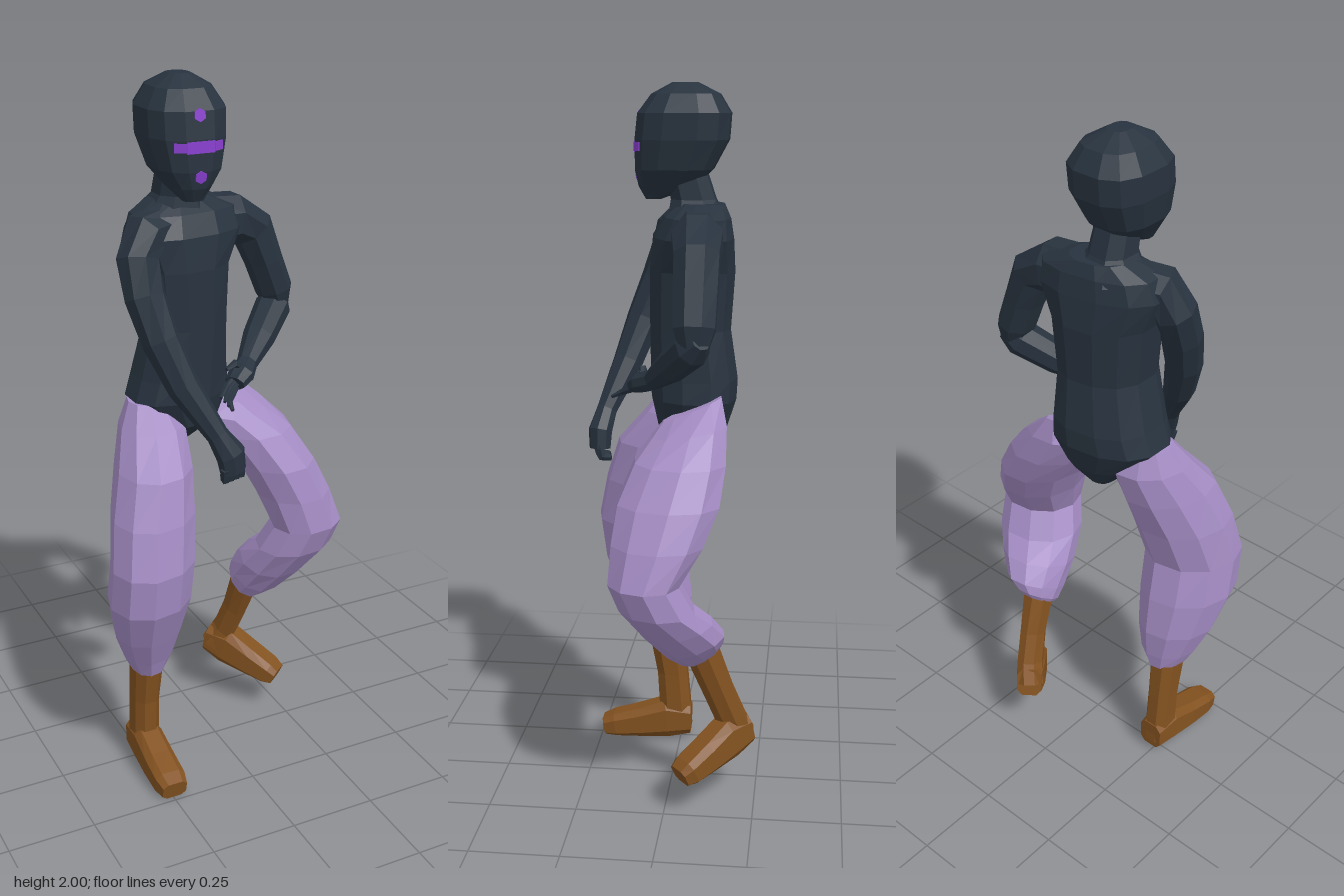
import * as THREE from 'three';

const mat = (name, color) => {
  const m = new THREE.MeshStandardMaterial({ color, flatShading: true });
  m.name = name;
  return m;
};

// Closed skin over rings of equal point count, with fan caps
function skin(rings) {
  const n = rings[0].length, pos = [], idx = [];
  rings.forEach(r => r.forEach(p => pos.push(p.x, p.y, p.z)));
  for (let j = 0; j < rings.length - 1; j++) {
    for (let i = 0; i < n; i++) {
      const a = j * n + i, b = j * n + (i + 1) % n;
      idx.push(a, b, b + n, a, b + n, a + n);
    }
  }
  const last = (rings.length - 1) * n;
  for (let i = 1; i < n - 1; i++) {
    idx.push(0, i + 1, i, last, last + i, last + i + 1);
  }
  const g = new THREE.BufferGeometry();
  g.setAttribute('position', new THREE.Float32BufferAttribute(pos, 3));
  g.setIndex(idx);
  const flat = g.toNonIndexed();
  flat.computeVertexNormals();
  return flat;
}

// Unit outline as [cos, sin] pairs; a lower power makes it squarer
function outline(sides, power) {
  const bend = v => Math.sign(v) * Math.abs(v) ** power;
  const top = bend(Math.cos(Math.PI / sides));
  return Array.from({ length: sides }, (_, i) => {
    const a = (i + 0.5) / sides * Math.PI * 2;
    return [bend(Math.cos(a)) / top, bend(Math.sin(a)) / top];
  });
}

// Sections, bottom to top: [y, xMin, xMax, zMin, zMax, drop towards the front]
function stack(sections, { sides = 12, power = 0.85, skew = 0 } = {}) {
  return skin(sections.map(([y, x0, x1, z0, z1, lean = 0]) => outline(sides, power).map(([c, s]) => {
    const dx = s * (x1 - x0) / 2, dz = c * (z1 - z0) / 2;
    return new THREE.Vector3((x0 + x1) / 2 + dx, y - lean * dz, (z0 + z1) / 2 + dz + skew * dx);
  })));
}

// Sections across a path: [x, y, z, halfWidth, halfHeight]
function limb(points, { sides = 8, power = 1, up = [0, 0, 1] } = {}) {
  const centres = points.map(p => new THREE.Vector3(p[0], p[1], p[2]));
  const ref = new THREE.Vector3(...up);
  return skin(points.map((p, k) => {
    const t = centres[Math.min(k + 1, centres.length - 1)].clone().sub(centres[Math.max(k - 1, 0)]).normalize();
    const side = t.clone().cross(ref).normalize(), rise = t.clone().cross(side);
    return outline(sides, power).map(([c, s]) => centres[k].clone()
      .addScaledVector(side, c * p[3]).addScaledVector(rise, s * (p[4] ?? p[3])));
  }));
}

export function createModel() {
  const suit = mat('dark suit', 0x28333f);
  const cloth = mat('lilac cloth', 0xa68ec6);
  const leather = mat('brown leather', 0x835220);
  const glow = mat('violet marking', 0x8a3fd0);
  const model = new THREE.Group();
  model.name = 'dancingFigure';
  const add = (name, geo, material, parent = model) => {
    const m = new THREE.Mesh(geo, material);
    m.name = name;
    parent.add(m);
    return m;
  };

  // Torso, neck and head
  add('torso', stack([
    [0.995, -0.11, -0.05, -0.1, -0.03], [1.06, -0.175, 0.015, -0.145, 0.05],
    [1.14, -0.245, 0.055, -0.168, 0.07], [1.2, -0.225, 0.05, -0.172, 0.07],
    [1.34, -0.19, 0.045, -0.153, 0.07], [1.5, -0.205, 0.055, -0.163, 0.07],
    [1.59, -0.24, 0.1, -0.158, 0.06], [1.645, -0.22, 0.09, -0.15, 0.03],
    [1.68, -0.155, 0.0, -0.135, -0.01],
  ], { skew: -0.15 }), suit);
  add('neck', stack([
    [1.63, -0.19, 0.01, -0.14, 0.02], [1.69, -0.15, -0.037, -0.11, 0.012],
    [1.78, -0.145, -0.042, -0.08, 0.03],
  ], { sides: 8 }), suit);
  add('head', stack([
    [1.69, -0.122, -0.066, 0.04, 0.083], [1.725, -0.147, -0.042, -0.055, 0.102],
    [1.77, -0.18, -0.008, -0.102, 0.11], [1.85, -0.2, 0.012, -0.145, 0.11],
    [1.92, -0.2, 0.015, -0.15, 0.102], [1.97, -0.17, -0.015, -0.12, 0.065],
    [2.0, -0.12, -0.065, -0.06, 0.01],
  ], { power: 0.75 }), suit);

  // Face markings: a band folded round the face and two dots
  const face = new THREE.Group();
  face.name = 'faceMarkings';
  face.position.x = -0.093;
  model.add(face);
  add('bandCentre', new THREE.BoxGeometry(0.078, 0.03, 0.008), glow, face).position.set(0, 1.832, 0.1075);
  for (const s of [-1, 1]) {
    const wing = add('bandEnd', new THREE.BoxGeometry(0.034, 0.024, 0.008), glow, face);
    wing.position.set(s * 0.051, 1.832, 0.1005);
    wing.rotation.y = s * 0.53;
  }
  for (const [y, z, tilt] of [[1.91, 0.102, -0.14], [1.757, 0.107, 0.16]]) {
    const dot = add('faceDot', new THREE.CylinderGeometry(0.017, 0.017, 0.008, 6), glow, face);
    dot.position.set(0, y, z);
    dot.rotation.x = Math.PI / 2 + tilt;
  }

  // Left arm, bent at the elbow across the waist
  add('leftUpperArm', limb([
    [-0.03, 1.59, -0.065, 0.08, 0.07], [0.085, 1.595, -0.075, 0.068, 0.068],
    [0.15, 1.56, -0.08, 0.056, 0.06], [0.187, 1.47, -0.08, 0.048, 0.058],
    [0.222, 1.38, -0.08, 0.047, 0.055], [0.235, 1.32, -0.08, 0.028, 0.035],
  ]), suit);
  add('leftForearm', limb([
    [0.25, 1.355, -0.1, 0.025], [0.22, 1.33, -0.075, 0.047], [0.14, 1.265, -0.01, 0.042],
    [0.075, 1.215, 0.045, 0.027], [0.04, 1.2, 0.08, 0.034, 0.028], [0.01, 1.185, 0.1, 0.028, 0.02],
  ], { up: [0, 1, 0] }), suit);

  // Right arm, reaching down in front
  add('rightArm', limb([
    [-0.13, 1.605, -0.03, 0.06], [-0.205, 1.598, 0.005, 0.06], [-0.235, 1.54, 0.025, 0.055, 0.056],
    [-0.233, 1.45, 0.062, 0.052, 0.05], [-0.21, 1.34, 0.105, 0.047], [-0.165, 1.22, 0.147, 0.041],
    [-0.092, 1.09, 0.2, 0.028], [-0.06, 1.035, 0.215, 0.04, 0.032], [-0.052, 0.985, 0.215, 0.036, 0.028],
  ], { up: [0.3, 0, 1] }), suit);

  // Fingers: open on the left hand, curled on the right
  for (let i = 0; i < 4; i++) {
    add('leftFinger', limb([
      [0.03 - i * 0.007, 1.205 - i * 0.01, 0.08 + i * 0.009, 0.008],
      [-0.015 - i * 0.005, 1.185 - i * 0.01, 0.105 + i * 0.014, 0.007],
      [-0.05 + i * 0.005, 1.165 - i * 0.008, 0.135 + i * 0.014, 0.004],
    ], { sides: 5, up: [0, 1, 0] }), suit);
    add('rightFinger', limb([
      [-0.085 + i * 0.019, 1.0, 0.232 - i * 0.006, 0.01],
      [-0.08 + i * 0.019, 0.965, 0.222 - i * 0.006, 0.01],
      [-0.07 + i * 0.016, 0.965, 0.19 - i * 0.004, 0.007],
    ], { sides: 5, up: [1, 0, 0] }), suit);
  }
  add('leftThumb', limb([[0.055, 1.205, 0.075, 0.012], [0.02, 1.235, 0.08, 0.009], [-0.01, 1.225, 0.09, 0.005]],
    { sides: 5 }), suit);

  // Baggy trouser legs
  add('leftTrouserLeg', stack([
    [0.445, 0.112, 0.195, -0.147, -0.06, 0.65], [0.458, 0.105, 0.212, -0.158, -0.045, 0.65],
    [0.49, 0.105, 0.255, -0.162, -0.005, 0.45], [0.55, 0.112, 0.31, -0.13, 0.055, 0.25],
    [0.62, 0.135, 0.362, -0.085, 0.12], [0.7, 0.165, 0.377, -0.045, 0.147],
    [0.8, 0.13, 0.345, -0.105, 0.142], [0.9, 0.08, 0.3, -0.145, 0.13],
    [1.0, 0.015, 0.24, -0.157, 0.09], [1.075, -0.03, 0.165, -0.155, 0.05, 0.2],
    [1.13, 0.015, 0.085, -0.14, 0.02, 0.45],
  ], { sides: 10, power: 0.95, skew: -0.12 }), cloth);
  add('rightTrouserLeg', stack([
    [0.325, -0.275, -0.21, -0.005, 0.085], [0.34, -0.29, -0.195, -0.017, 0.11],
    [0.39, -0.315, -0.172, -0.025, 0.13], [0.48, -0.35, -0.155, -0.03, 0.175],
    [0.6, -0.377, -0.14, -0.015, 0.232], [0.72, -0.375, -0.135, 0.01, 0.247],
    [0.85, -0.355, -0.12, -0.03, 0.22], [0.97, -0.32, -0.11, -0.075, 0.18],
    [1.07, -0.285, -0.1, -0.105, 0.095], [1.14, -0.255, -0.14, -0.08, 0.04],
  ], { sides: 10, power: 0.95, skew: -0.2 }), cloth);

  // Boots: shaft and foot
  add('rightBootShaft', stack([
    [0.04, -0.285, -0.207, -0.035, 0.06], [0.13, -0.283, -0.207, -0.03, 0.065],
    [0.22, -0.283, -0.207, -0.022, 0.07], [0.37, -0.287, -0.2, -0.008, 0.098],
  ], { sides: 8 }), leather);
  add('rightBootFoot', limb([
    [-0.245, 0.066, -0.033, 0.038, 0.045], [-0.245, 0.067, 0.04, 0.043, 0.06],
    [-0.247, 0.048, 0.13, 0.045, 0.046], [-0.248, 0.036, 0.205, 0.045, 0.036],
    [-0.248, 0.028, 0.241, 0.037, 0.027],
  ], { up: [0, 1, 0], power: 0.6 }), leather);
  add('leftBootShaft', limb([
    [0.155, 0.46, -0.1, 0.042, 0.046], [0.14, 0.34, -0.145, 0.033, 0.042],
    [0.122, 0.25, -0.18, 0.033, 0.042], [0.1, 0.19, -0.205, 0.04, 0.042],
  ]), leather);
  add('leftBootFoot', limb([
    [0.088, 0.208, -0.222, 0.038, 0.045], [0.128, 0.192, -0.172, 0.043, 0.06],
    [0.176, 0.158, -0.118, 0.045, 0.048], [0.222, 0.127, -0.066, 0.044, 0.037],
    [0.238, 0.115, -0.046, 0.036, 0.027],
  ], { up: [0, 1, 0], power: 0.6 }), leather);

  return model;
}
